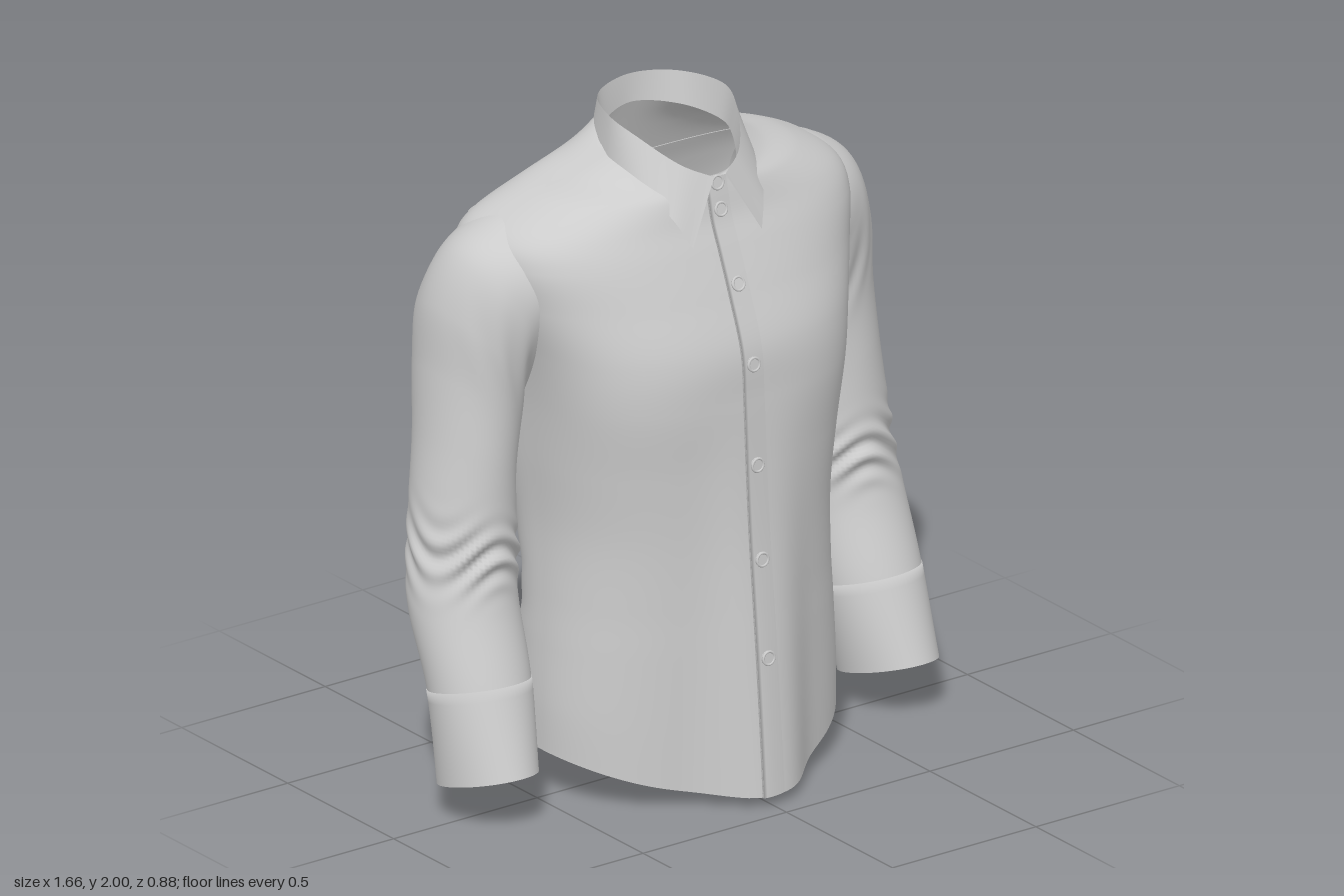
import * as THREE from 'three';
import { ParametricGeometry } from 'three/addons/geometries/ParametricGeometry.js';

const material = new THREE.MeshStandardMaterial({ color: 0xcccccc, side: THREE.DoubleSide });
const { sin, cos, abs, exp, PI } = Math;
const bump = (v, centre, width) => exp(-(((v - centre) / width) ** 2));

// Smooth interpolation of every column in a table of cross-sections
function blend(rows, t) {
  const f = Math.min(Math.max(t, 0), 1) * (rows.length - 1);
  const i = Math.min(Math.floor(f), rows.length - 2), k = f - i;
  const at = (j) => rows[Math.min(Math.max(j, 0), rows.length - 1)];
  return rows[i].map((p, c) => {
    const q = at(i + 1)[c], m0 = (q - at(i - 1)[c]) / 2, m1 = (at(i + 2)[c] - p) / 2;
    const k2 = k * k, k3 = k2 * k;
    return (2 * k3 - 3 * k2 + 1) * p + (k3 - 2 * k2 + k) * m0 + (3 * k2 - 2 * k3) * q + (k3 - k2) * m1;
  });
}

// Torso: yFront, ySide, yBack, half width, zFront, zSide, zBack, front and back squareness, front pleat
const TORSO = [
  [0.03, 0.14, 0.0, 0.48, 0.34, 0.0, -0.39, 2, 2.2, 0.1],
  [0.22, 0.28, 0.2, 0.48, 0.34, 0.0, -0.37, 2, 2.3, 0.085],
  [0.45, 0.45, 0.45, 0.47, 0.34, -0.01, -0.345, 2.05, 2.4, 0.065],
  [0.6, 0.6, 0.6, 0.46, 0.34, -0.02, -0.32, 2.1, 2.5, 0.05],
  [0.8, 0.8, 0.8, 0.455, 0.34, -0.04, -0.365, 2.25, 2.7, 0.03],
  [1.0, 1.0, 1.0, 0.47, 0.34, -0.06, -0.41, 2.5, 3.1, 0.015],
  [1.2, 1.2, 1.2, 0.49, 0.343, -0.08, -0.43, 2.8, 3.8, 0],
  [1.35, 1.35, 1.35, 0.52, 0.33, -0.1, -0.427, 2.7, 4.4, 0],
  [1.5, 1.5, 1.5, 0.57, 0.275, -0.13, -0.408, 2.6, 4.4, 0],
  [1.62, 1.62, 1.62, 0.6, 0.225, -0.15, -0.375, 2.6, 4, 0],
  [1.7, 1.7, 1.7, 0.57, 0.19, -0.15, -0.345, 2.5, 3.5, 0],
  [1.77, 1.775, 1.78, 0.44, 0.172, -0.12, -0.315, 2.2, 2.8, 0],
  [1.8, 1.82, 1.86, 0.3, 0.165, -0.09, -0.285, 2, 2.3, 0],
  [1.825, 1.87, 1.95, 0.2, 0.16, -0.07, -0.25, 2, 2, 0],
];

function torsoPoint(a, t, out = new THREE.Vector3()) {
  const [yF, yS, yB, w, zF, zS, zB, nF, nB, pleat] = blend(TORSO, t);
  const s = sin(a), c = cos(a), front = c > 0, n = front ? nF : nB;
  const r = (abs(s) ** n + abs(c) ** n) ** (-1 / n);
  const x = w * s * r, y = yS + ((front ? yF : yB) - yS) * c * c;
  let z = zS + ((front ? zF : zB) - zS) * abs(c) * r;
  // Loose pleat down the front, sagging folds in the small of the back
  if (front) z += pleat * c * c * exp(-((abs(x - 0.02) / 0.16) ** 3));
  else z -= 0.014 * c * c * bump(y, 0.56, 0.16) * sin(46 * (y - 0.6 * x * x) + 1.6 * sin(5 * x + 1));
  return out.set(x, y, z);
}

// Sleeve: outer x and y, inner x and y, z centre, half depth, forward tilt
const SLEEVE = [
  [0.45, 1.755, 0.36, 1.42, -0.135, 0.185, 0],
  [0.57, 1.712, 0.43, 1.35, -0.14, 0.21, 0],
  [0.67, 1.638, 0.465, 1.28, -0.152, 0.2, 0],
  [0.73, 1.49, 0.475, 1.2, -0.175, 0.195, 0],
  [0.747, 1.3, 0.48, 1.1, -0.18, 0.185, 0],
  [0.765, 1.1, 0.5, 0.98, -0.165, 0.17, 0],
  [0.79, 0.92, 0.5, 0.85, -0.155, 0.163, 0],
  [0.81, 0.75, 0.5, 0.72, -0.145, 0.16, 0.01],
  [0.83, 0.6, 0.515, 0.6, -0.115, 0.152, 0.02],
  [0.83, 0.39, 0.53, 0.38, -0.03, 0.14, 0.035],
  [0.825, 0.125, 0.57, 0.125, 0.035, 0.162, 0.048],
];
const CUFF_START = 0.9;

function sleevePoint(side, a, t, grow, out = new THREE.Vector3()) {
  const [xo, yo, xi, yi, zc, dz, tilt] = blend(SLEEVE, t);
  const c = cos(a), s = sin(a), half = Math.hypot(xo - xi, yo - yi) / 2;
  const yMid = (yo + yi) / 2;
  // Creases at the elbow and around the armhole
  const crease = 0.008 * bump(yMid, 0.76, 0.08) * sin(75 * yMid + 3 * sin(2 * a + 1) + 2 * sin(3 * a)) * (0.8 + 0.5 * s)
    + 0.007 * bump(yMid, 1.36, 0.1) * (0.5 - 0.5 * c) * sin(9 * a + 30 * yMid);
  const k = 1 + (grow + crease) / half, kz = 1 + (grow + crease) / dz;
  return out.set(
    side * ((xo + xi) / 2 + ((xo - xi) / 2) * c * k),
    yMid + ((yo - yi) / 2) * c * k + tilt * s,
    zc + dz * s * kz,
  );
}

// Neck edges, listed from the left front to the centre back and mirrored
function neckCurve(points) {
  const left = points.map((p) => new THREE.Vector3(...p));
  const right = left.slice(0, -1).reverse().map((p) => new THREE.Vector3(-p.x, p.y, p.z));
  return new THREE.CatmullRomCurve3([...left, ...right]);
}
const COLLAR_FOLD = neckCurve([[0.02, 1.83, 0.185], [0.1, 1.87, 0.14], [0.175, 1.94, 0.03],
  [0.2, 1.975, -0.06], [0.14, 1.985, -0.2], [0, 1.995, -0.245]]);
const COLLAR_EDGE = neckCurve([[0.12, 1.65, 0.222], [0.16, 1.735, 0.175], [0.205, 1.81, 0.075],
  [0.213, 1.865, -0.06], [0.148, 1.93, -0.205], [0, 1.955, -0.253]]);
const COLLAR_BASE = neckCurve([[0, 1.82, 0.163], [0.1, 1.82, 0.12], [0.17, 1.86, 0.01],
  [0.19, 1.87, -0.07], [0.135, 1.89, -0.185], [0, 1.91, -0.24]]);

export function createModel() {
  const model = new THREE.Group();
  const add = (name, geometry, parent = model) => {
    const mesh = new THREE.Mesh(geometry, material);
    mesh.name = name;
    parent.add(mesh);
    return mesh;
  };
  const surface = (name, fn, slices, stacks) => add(name, new ParametricGeometry(fn, slices, stacks));

  surface('torso', (u, v, p) => torsoPoint(u * 2 * PI, v, p), 128, 140);

  // Button placket with one raised edge
  surface('placket', (u, v, p) => {
    const t = v * 0.98, x = -0.035 + 0.075 * Math.max(0, u - 1 / 8) * 8 / 7;
    torsoPoint(x / blend(TORSO, t)[3], t, p);
    p.z += u < 0.01 ? 0 : 0.008 * (1 - u);
  }, 8, 100);

  // Buttons, each turned to follow the chest
  const heights = [1.805, 1.73, 1.53, 1.31, 1.01, 0.73, 0.44];
  for (const y of heights) {
    let low = 0, high = 1;
    for (let i = 0; i < 30; i++) {
      const mid = (low + high) / 2;
      if (torsoPoint(0, mid).y < y) low = mid; else high = mid;
    }
    const up = torsoPoint(0, low + 0.01).sub(torsoPoint(0, low - 0.01));
    const button = new THREE.Group();
    button.name = 'button';
    button.position.copy(torsoPoint(0, low)).add(new THREE.Vector3(0, 0, 0.007));
    button.rotation.x = Math.atan2(up.z, up.y);
    add('buttonDisc', new THREE.CylinderGeometry(0.021, 0.021, 0.01, 24).rotateX(PI / 2), button);
    add('buttonRim', new THREE.TorusGeometry(0.019, 0.004, 8, 24), button).position.z = 0.004;
    model.add(button);
  }

  // Yoke seam across the back
  const yoke = [];
  for (let i = 0; i <= 30; i++) yoke.push(torsoPoint(PI * (0.7 + (0.6 * i) / 30), 0.765));
  add('yokeSeam', new THREE.TubeGeometry(new THREE.CatmullRomCurve3(yoke), 80, 0.002, 5));

  // Sleeves and turned-in cuffs
  const cuffProfile = [[CUFF_START, -0.002], [CUFF_START, 0.002], [1, 0.003], [1, -0.008], [0.92, -0.012]];
  for (const side of [1, -1]) {
    const prefix = side > 0 ? 'left' : 'right';
    surface(prefix + 'Sleeve', (u, v, p) =>
      sleevePoint(side, side * u * 2 * PI, v * (CUFF_START + 0.01), 0, p), 72, 120);
    surface(prefix + 'Cuff', (u, v, p) => {
      const f = v * 4, i = Math.min(Math.floor(f), 3), k = f - i;
      const [a, b] = [cuffProfile[i], cuffProfile[i + 1]];
      sleevePoint(side, side * u * 2 * PI, a[0] + (b[0] - a[0]) * k, a[1] + (b[1] - a[1]) * k, p);
    }, 64, 32);
  }

  // Collar: the stand inside the neck and the pointed fall outside
  const between = (lower, upper) => (u, v, p) => p.copy(lower.getPoint(u)).lerp(upper.getPoint(u), v);
  surface('collarStand', between(COLLAR_BASE, COLLAR_FOLD), 96, 10);
  surface('collarFall', between(COLLAR_EDGE, COLLAR_FOLD), 96, 12);

  return model;
}
